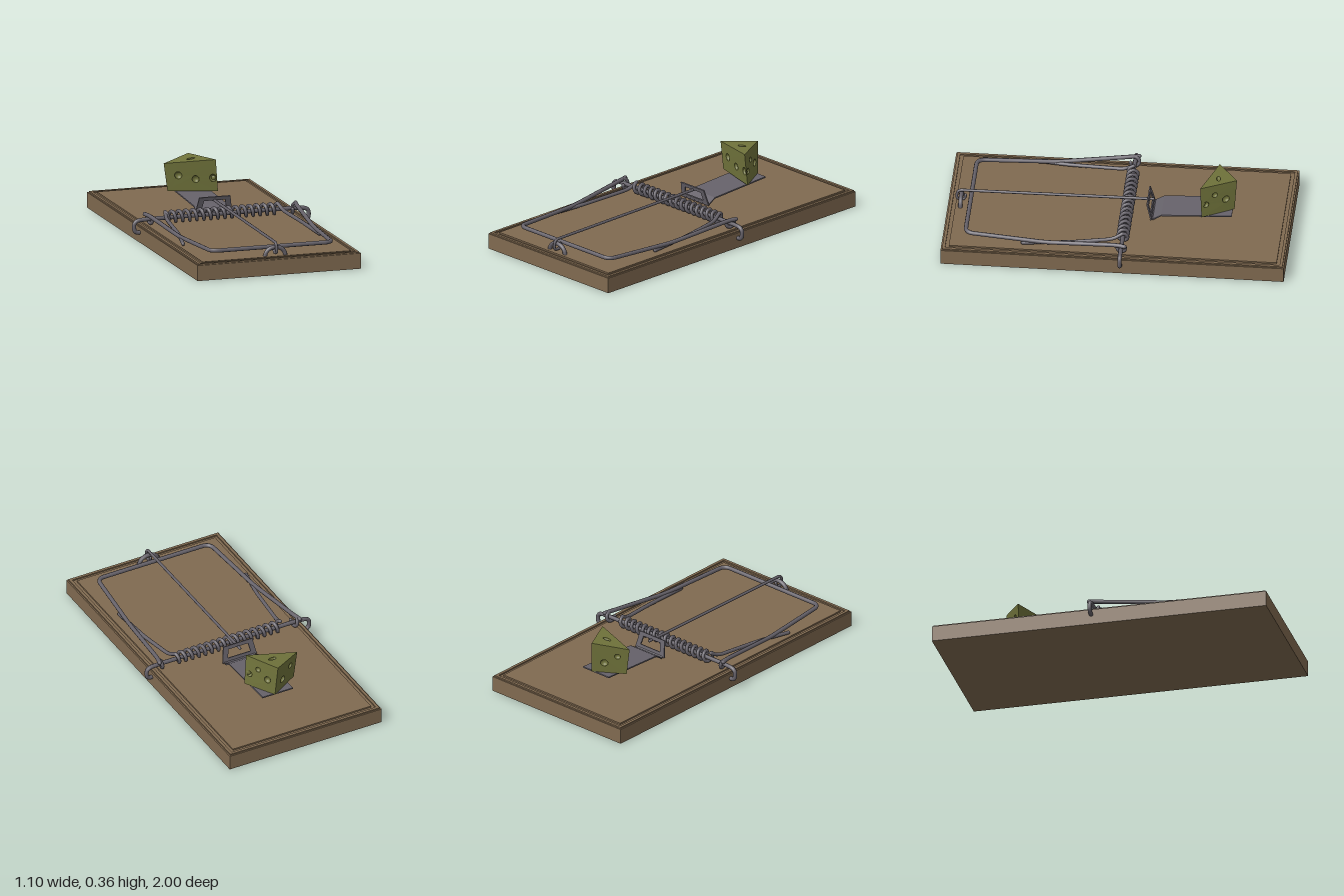
import * as THREE from 'three';

const wood = new THREE.MeshStandardMaterial({ color: 0x806a50 });
wood.name = 'wood';
const steel = new THREE.MeshStandardMaterial({ color: 0x66626a, side: THREE.DoubleSide });
steel.name = 'steel';
const cheeseSkin = new THREE.MeshStandardMaterial({ color: 0x70733b, side: THREE.DoubleSide });
cheeseSkin.name = 'cheese';

const V = (x, y, z) => new THREE.Vector3(x, y, z);

function add(parent, name, geometry, material, x = 0, y = 0, z = 0) {
  const mesh = new THREE.Mesh(geometry, material);
  mesh.name = name;
  mesh.position.set(x, y, z);
  parent.add(mesh);
  return mesh;
}

// Straight wire runs joined by rounded bends
function wire(parent, name, coords, radius, bend = 0.04, segments = 120) {
  const p = coords.map((c) => V(...c));
  const path = new THREE.CurvePath();
  let from = p[0];
  for (let i = 1; i < p.length - 1; i++) {
    const inDir = p[i - 1].clone().sub(p[i]);
    const outDir = p[i + 1].clone().sub(p[i]);
    const a = p[i].clone().addScaledVector(inDir, Math.min(bend / inDir.length(), 0.45));
    const b = p[i].clone().addScaledVector(outDir, Math.min(bend / outDir.length(), 0.45));
    path.add(new THREE.LineCurve3(from, a));
    path.add(new THREE.QuadraticBezierCurve3(a, p[i], b));
    from = b;
  }
  path.add(new THREE.LineCurve3(from, p[p.length - 1]));
  const group = new THREE.Group();
  group.name = name;
  add(group, name + 'Wire', new THREE.TubeGeometry(path, segments, radius, 8), steel);
  for (const end of [p[0], p[p.length - 1]]) {
    add(group, name + 'End', new THREE.SphereGeometry(radius, 8, 6), steel, end.x, end.y, end.z);
  }
  parent.add(group);
}

function rectangle(Type, w, h) {
  return new Type([[-w, -h], [w, -h], [w, h], [-w, h]].map(([x, y]) => new THREE.Vector2(x, y)));
}

// Board with a thin groove running inside its border
function buildBoard(parent) {
  const board = new THREE.Group();
  board.name = 'board';
  add(board, 'boardBody', new THREE.BoxGeometry(1, 0.092, 2), wood, 0, 0.046, 0);
  const rim = rectangle(THREE.Shape, 0.492, 0.992);
  rim.holes.push(rectangle(THREE.Path, 0.475, 0.975));
  const rimGeometry = new THREE.ExtrudeGeometry(rim, { depth: 0.01, bevelEnabled: false });
  add(board, 'boardRim', rimGeometry.rotateX(-Math.PI / 2), wood, 0, 0.09, 0);
  add(board, 'boardPanel', new THREE.BoxGeometry(0.91, 0.01, 1.91), wood, 0, 0.096, 0);
  parent.add(board);
}

// Coil wound round the axle, with an arm leaving each end
function buildSpring(parent) {
  const turns = 16, points = [];
  for (let i = 0; i <= turns * 12; i++) {
    const a = (i / 12) * Math.PI * 2;
    points.push(V(-0.345 + (0.69 * i) / (turns * 12), 0.142 + 0.029 * Math.cos(a), -0.047 + 0.029 * Math.sin(a)));
  }
  const curve = new THREE.CatmullRomCurve3(points);
  add(parent, 'springCoil', new THREE.TubeGeometry(curve, turns * 16, 0.0105, 8), steel);
  wire(parent, 'springArmRight', [[-0.345, 0.171, -0.047], [-0.355, 0.14, 0.01], [-0.39, 0.125, 0.33], [-0.43, 0.113, 0.53]], 0.011);
  wire(parent, 'springArmLeft', [[0.345, 0.171, -0.047], [0.36, 0.14, 0.01], [0.39, 0.125, 0.25], [0.405, 0.113, 0.53]], 0.011);
}

// Axle, hammer bow, holding rod and its staple
function buildWires(parent) {
  wire(parent, 'axle', [
    [-0.48, 0.06, -0.047], [-0.535, 0.062, -0.047], [-0.535, 0.132, -0.047], [-0.44, 0.137, -0.047],
    [0.44, 0.137, -0.047], [0.535, 0.132, -0.047], [0.535, 0.062, -0.047], [0.48, 0.06, -0.047],
  ], 0.0125, 0.045, 260);
  const side = (s) => [
    [s * 0.462, 0.162, -0.07], [s * 0.45, 0.162, -0.02], [s * 0.41, 0.128, 0.4], [s * 0.37, 0.14, 0.867],
  ];
  wire(parent, 'hammerBow', [...side(-1), ...side(1).reverse()], 0.0125, 0.05, 300);
  for (const s of [-1, 1]) {
    const hook = [];
    for (let i = 0; i <= 8; i++) {
      const a = (i / 8) * Math.PI * 1.5;
      hook.push([s * (0.452 - i * 0.003), 0.137 + 0.026 * Math.cos(a), -0.047 - 0.026 * Math.sin(a)]);
    }
    wire(parent, 'hammerHook', hook, 0.0105, 0.01, 40);
  }
  wire(parent, 'holdingRod', [
    [0, 0.188, -0.195], [0, 0.178, 0.945], [0, 0.118, 0.955], [0, 0.115, 0.905], [0, 0.145, 0.9],
  ], 0.0085, 0.025, 180);
  const staple = [[-0.068, 0.09, 0.925]];
  for (let i = 0; i <= 10; i++) {
    const a = Math.PI * (1 - i / 10);
    staple.push([0.062 * Math.cos(a), 0.1 + 0.05 * Math.sin(a), 0.925]);
  }
  staple.push([0.068, 0.09, 0.925]);
  wire(parent, 'rodStaple', staple, 0.0125, 0.01, 60);
}

// Bait pedal: sloping plate, bent foot and an upright catch with a window
function buildPedal(parent) {
  const pedal = new THREE.Group();
  pedal.name = 'baitPedal';
  const profile = [[0.66, 0.158], [0.25, 0.138], [0.2, 0.108], [0.185, 0.12]];
  const outline = [...profile, ...profile.slice().reverse().map(([z, y]) => [z, y + 0.008])];
  const shape = new THREE.Shape(outline.map(([z, y]) => new THREE.Vector2(z, y)));
  const plate = new THREE.ExtrudeGeometry(shape, { depth: 0.2, bevelEnabled: false });
  add(pedal, 'pedalPlate', plate.rotateY(Math.PI / 2), steel, -0.1, 0, 0);

  const pts = (list) => list.map(([x, y]) => new THREE.Vector2(x, y));
  const frame = new THREE.Shape(pts([[-0.112, 0], [0.112, 0], [0.095, 0.1], [-0.095, 0.1]]));
  frame.holes.push(new THREE.Path(pts([[-0.075, 0.025], [0.075, 0.025], [0.065, 0.078], [-0.065, 0.078]])));
  const geometry = new THREE.ExtrudeGeometry(frame, { depth: 0.008, bevelEnabled: false });
  add(pedal, 'pedalCatch', geometry, steel, 0, 0.115, -0.195).rotation.x = 0.25;
  parent.add(pedal);
}

// One cheese face spanned by four corners, pierced by holes [u, v, radius] backed by bowls
function cheeseFace(parent, name, [p0, p1, p2, p3], outline, holes, inside) {
  const lenU = p0.distanceTo(p1), lenV = p0.distanceTo(p3);
  const normal = p1.clone().sub(p0).cross(p3.clone().sub(p0)).normalize();
  if (normal.dot(inside.clone().sub(p0)) < 0) normal.negate();
  const warp = (geometry) => {
    const pos = geometry.attributes.position;
    for (let i = 0; i < pos.count; i++) {
      const u = pos.getX(i), v = pos.getY(i);
      const q = p0.clone().lerp(p1, u).lerp(p3.clone().lerp(p2, u), v).addScaledVector(normal, pos.getZ(i));
      pos.setXYZ(i, q.x, q.y, q.z);
    }
    geometry.computeVertexNormals();
    return geometry;
  };
  const shape = new THREE.Shape(outline.map(([u, v]) => new THREE.Vector2(u, v)));
  for (const [u, v, r] of holes) {
    shape.holes.push(new THREE.Path().absellipse(u, v, r / lenU, r / lenV, 0, Math.PI * 2));
    const bowl = new THREE.SphereGeometry(1, 16, 6, 0, Math.PI * 2, 0, Math.PI / 2).rotateX(Math.PI / 2);
    bowl.scale(r / lenU, r / lenV, r * 0.8).translate(u, v, 0);
    add(parent, name + 'Hole', warp(bowl), cheeseSkin);
  }
  add(parent, name, warp(new THREE.ShapeGeometry(shape, 16)), cheeseSkin);
}

// Wedge of cheese with flared corners
function buildCheese(parent) {
  const cheese = new THREE.Group();
  cheese.name = 'cheese';
  const low = [V(-0.155, 0.168, -0.565), V(0.128, 0.165, -0.487), V(0.025, 0.165, -0.67)];
  const high = [V(-0.178, 0.334, -0.565), V(0.112, 0.355, -0.478), V(0.012, 0.357, -0.683)];
  const middle = V(0, 0.26, -0.575);
  const square = [[0, 0], [1, 0], [1, 1], [0, 1]];
  const sideHoles = [
    [[0.25, 0.55, 0.021], [0.58, 0.4, 0.02], [0.92, 0.42, 0.02]],
    [[0.4, 0.66, 0.016], [0.72, 0.43, 0.021], [0.14, 0.4, 0.018]],
    [[0.35, 0.35, 0.022], [0.7, 0.65, 0.018]],
  ];
  ['frontFace', 'leftFace', 'backFace'].forEach((name, i) => {
    const j = (i + 1) % 3;
    cheeseFace(cheese, name, [low[i], low[j], high[j], high[i]], square, sideHoles[i], middle);
  });
  const triangle = [[0, 0], [1, 0], [0, 1]];
  for (const [name, c, holes] of [['topFace', high, [[0.36, 0.34, 0.021]]], ['bottomFace', low, []]]) {
    const fourth = c[1].clone().add(c[2]).sub(c[0]);
    cheeseFace(cheese, name, [c[0], c[1], fourth, c[2]], triangle, holes, middle);
  }
  parent.add(cheese);
}

export function createModel() {
  const model = new THREE.Group();
  model.name = 'mousetrap';
  buildBoard(model);
  buildSpring(model);
  buildWires(model);
  buildPedal(model);
  buildCheese(model);
  return model;
}
